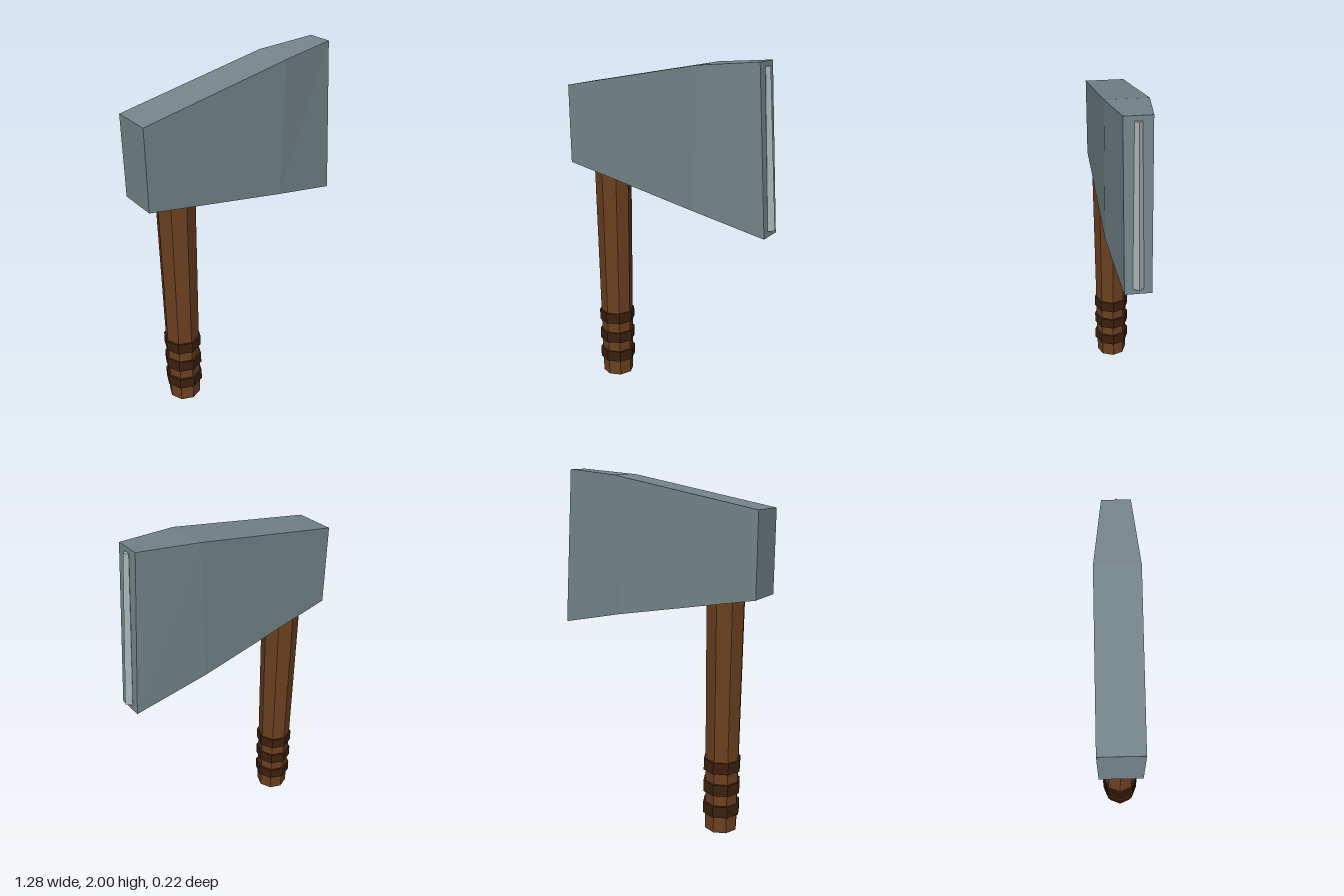
import * as THREE from 'three';

const flat = (name, color) => {
  const m = new THREE.MeshStandardMaterial({ color, flatShading: true });
  m.name = name;
  return m;
};

// Solid through four-cornered sections: each has a top point, a bottom point and a half thickness
function loftHead(sections) {
  const rings = sections.map(({ top, bottom, half }) => [
    [...top, half], [...top, -half], [...bottom, -half], [...bottom, half],
  ]);
  const pos = [];
  const quad = (a, b, c, d) => pos.push(...a, ...b, ...c, ...a, ...c, ...d);
  for (let i = 0; i < rings.length - 1; i++) {
    for (let j = 0; j < 4; j++) {
      const k = (j + 1) % 4;
      quad(rings[i][j], rings[i + 1][j], rings[i + 1][k], rings[i][k]);
    }
  }
  quad(...rings[0]);
  quad(...[...rings[rings.length - 1]].reverse());
  const g = new THREE.BufferGeometry();
  g.setAttribute('position', new THREE.Float32BufferAttribute(pos, 3));
  g.computeVertexNormals();
  return g;
}

export function createModel() {
  const group = new THREE.Group();
  group.name = 'axe';
  const wood = flat('wood', 0x6b4020);
  const leather = flat('darkLeather', 0x3d200e);
  const steel = flat('steel', 0x74858a);
  const bright = flat('brightSteel', 0xa6b4b3);

  const add = (name, geometry, material, x = 0, y = 0) => {
    const mesh = new THREE.Mesh(geometry, material);
    mesh.name = name;
    mesh.position.set(x, y, 0);
    group.add(mesh);
    return mesh;
  };

  // Tapered octagonal handle, running up into the head
  const handleX = -0.418, handleTop = 1.65;
  add('handle', new THREE.CylinderGeometry(0.111, 0.094, handleTop, 8), wood, handleX, handleTop / 2);

  // Grip bands
  for (let i = 0; i < 3; i++) {
    add(`gripBand${i + 1}`, new THREE.CylinderGeometry(0.108, 0.108, 0.066, 8), leather, handleX, 0.132 + i * 0.131);
  }

  // Head: flared and thinned toward the cutting side
  add('head', loftHead([
    { top: [-0.64, 1.81], bottom: [-0.64, 1.36], half: 0.112 },
    { top: [0.22, 1.97], bottom: [0.2, 1.2], half: 0.112 },
    { top: [0.55, 2.0], bottom: [0.612, 1.105], half: 0.07 },
  ]), steel);

  // Cutting edge: slim four-sided bar lying along the tilted front of the head
  const top = new THREE.Vector2(0.555, 1.975), bottom = new THREE.Vector2(0.611, 1.136);
  const mid = top.clone().add(bottom).multiplyScalar(0.5);
  const edge = add('cuttingEdge', new THREE.CylinderGeometry(0.019, 0.028, top.distanceTo(bottom), 4), bright, mid.x, mid.y);
  edge.rotation.z = Math.atan2(bottom.x - top.x, top.y - bottom.y);

  return group;
}
